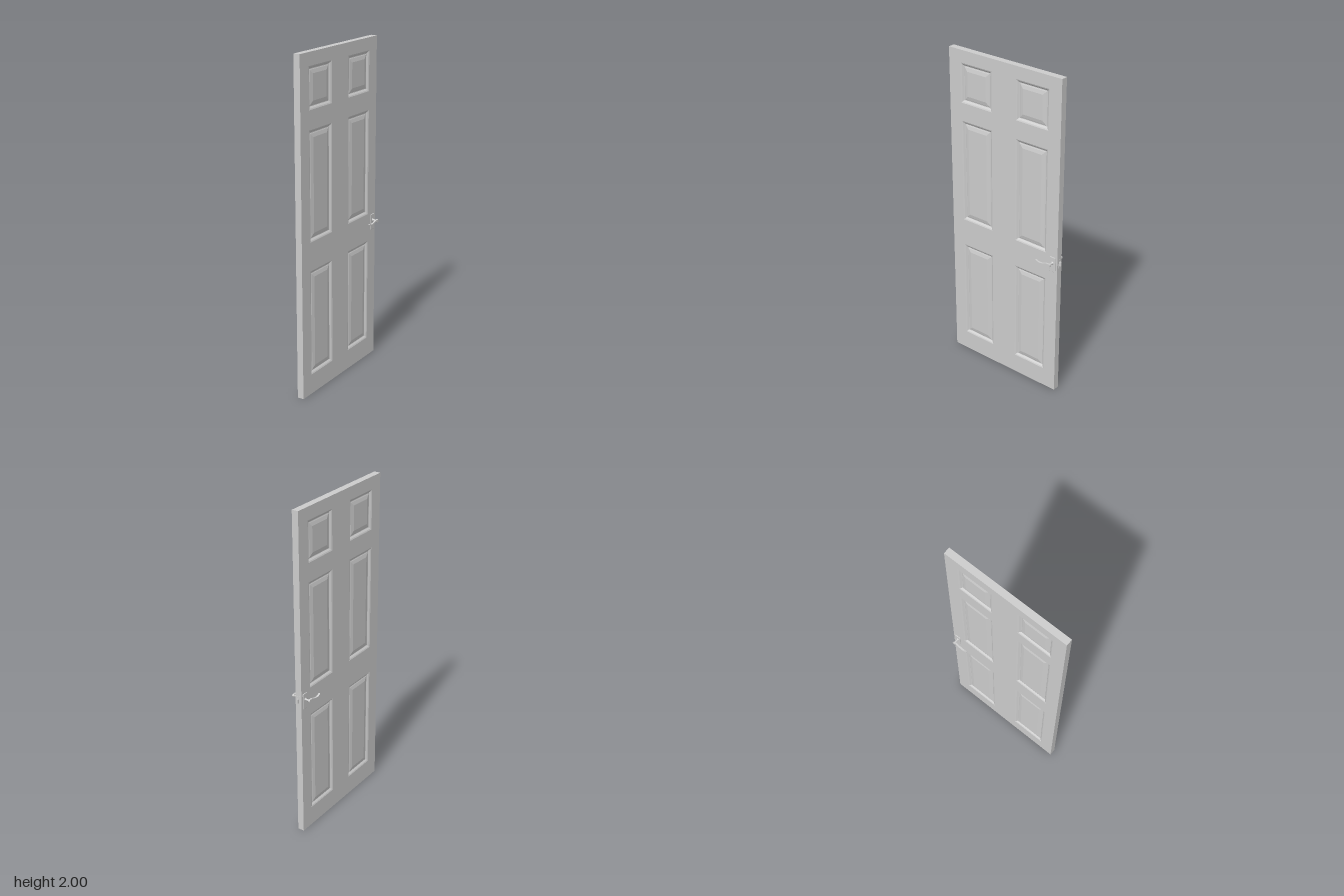
import * as THREE from 'three';

const HALF_T = 0.02, HALF_W = 0.389, HEIGHT = 2;
const HANDLE_U = 0.357, HANDLE_Y = 0.886;
const PANEL_ROWS = [[0.122, 0.764], [0.936, 1.576], [1.687, 1.925]];
const PANEL_U = [[-0.307, -0.085], [0.085, 0.307]];
// Panel moulding: [inset, depth] from the opening edge to the raised field
const MOULDING = [[0, 0], [0.007, 0.003], [0.016, 0.011], [0.02, 0.011], [0.024, 0.009], [0.045, 0.004]];

const material = new THREE.MeshStandardMaterial({ color: 0xcccccc, side: THREE.DoubleSide });

function add(parent, name, geometry) {
  const mesh = new THREE.Mesh(geometry, material);
  mesh.name = name;
  parent.add(mesh);
  return mesh;
}

function rectPoints(u0, y0, u1, y1) {
  return [[u0, y0], [u1, y0], [u1, y1], [u0, y1]].map(p => new THREE.Vector2(...p));
}

// Nested rectangles joined into a moulded panel facing +z
function panelGeometry(u0, y0, u1, y1) {
  const rings = MOULDING.map(([inset, depth]) =>
    rectPoints(u0 + inset, y0 + inset, u1 - inset, y1 - inset).map(p => [p.x, p.y, HALF_T - depth]));
  const pos = [];
  const quad = (a, b, c, d) => pos.push(...a, ...b, ...c, ...a, ...c, ...d);
  for (let r = 0; r < rings.length - 1; r++) {
    for (let i = 0; i < 4; i++) {
      const j = (i + 1) % 4;
      quad(rings[r][i], rings[r][j], rings[r + 1][j], rings[r + 1][i]);
    }
  }
  quad(...rings[rings.length - 1]);
  const g = new THREE.BufferGeometry();
  g.setAttribute('position', new THREE.Float32BufferAttribute(pos, 3));
  g.computeVertexNormals();
  return g;
}

// Wavy lever: a tapering ribbon along a curve, pointing away from the door edge
function leverGeometry(s) {
  const curve = new THREE.SplineCurve([[0, 0.002], [0.016, 0.005], [0.04, -0.003], [0.07, -0.006], [0.094, 0.004]]
    .map(p => new THREE.Vector2(...p)));
  const top = [], bottom = [];
  const n = 20;
  for (let i = 0; i <= n; i++) {
    const p = curve.getPoint(i / n), t = curve.getTangent(i / n);
    const h = 0.0045 - 0.002 * i / n;
    top.push(new THREE.Vector2(-s * (p.x - t.y * h), p.y + t.x * h));
    bottom.push(new THREE.Vector2(-s * (p.x + t.y * h), p.y - t.x * h));
  }
  const shape = new THREE.Shape([...top, ...bottom.reverse()]);
  return new THREE.ExtrudeGeometry(shape, { depth: 0.011, bevelEnabled: false });
}

// Back plate, spindle and lever, built facing +z
function createHandle(s) {
  const handle = new THREE.Group();
  handle.name = 'handle';
  handle.position.set(s * HANDLE_U, HANDLE_Y, HALF_T);

  const plate = new THREE.Shape(rectPoints(-0.017, -0.056, 0.017, 0.036));
  add(handle, 'backPlate', new THREE.ExtrudeGeometry(plate, {
    depth: 0.002, bevelThickness: 0.002, bevelSize: 0.002, bevelSegments: 2
  }));

  const profile = [[0.011, 0.003], [0.0085, 0.006], [0.006, 0.01], [0.006, 0.03]]
    .map(p => new THREE.Vector2(...p));
  add(handle, 'spindle', new THREE.LatheGeometry(profile, 20).rotateX(Math.PI / 2));
  add(handle, 'leverBoss', new THREE.CylinderGeometry(0.01, 0.01, 0.011, 20)
    .rotateX(Math.PI / 2).translate(0, 0, 0.0355));
  add(handle, 'lever', leverGeometry(s).translate(0, 0, 0.03));
  return handle;
}

export function createModel() {
  const door = new THREE.Group();
  door.name = 'door';
  door.position.z = 0.005;

  // Slab edges: a box without its two broad faces
  const edges = new THREE.BoxGeometry(2 * HALF_T, HEIGHT, 2 * HALF_W).translate(0, HEIGHT / 2, 0);
  edges.setIndex(Array.from(edges.index.array).slice(12));
  edges.clearGroups();
  add(door, 'slabEdges', edges);

  // Each broad side: pierced face, six moulded panels and a handle
  for (const s of [1, -1]) {
    const side = new THREE.Group();
    side.name = s > 0 ? 'leftSide' : 'rightSide';
    side.rotation.y = s * Math.PI / 2;
    door.add(side);

    const face = new THREE.Shape(rectPoints(-HALF_W, 0, HALF_W, HEIGHT));
    for (const [y0, y1] of PANEL_ROWS) {
      for (const [u0, u1] of PANEL_U) {
        face.holes.push(new THREE.Path(rectPoints(u0, y0, u1, y1).reverse()));
        add(side, 'panel', panelGeometry(u0, y0, u1, y1));
      }
    }
    add(side, 'face', new THREE.ShapeGeometry(face).translate(0, 0, HALF_T));
    side.add(createHandle(s));
  }

  // Latch plate and slanted bolt on the free edge
  add(door, 'latchPlate', new THREE.BoxGeometry(0.022, 0.056, 0.002).translate(0, HANDLE_Y - 0.002, -HALF_W));
  const bolt = new THREE.Shape();
  bolt.moveTo(-0.005, 0);
  bolt.lineTo(0.006, 0);
  bolt.quadraticCurveTo(0.004, 0.011, -0.002, 0.012);
  bolt.quadraticCurveTo(-0.005, 0.011, -0.005, 0.006);
  bolt.closePath();
  add(door, 'latchBolt', new THREE.ExtrudeGeometry(bolt, { depth: 0.026, bevelEnabled: false })
    .rotateX(-Math.PI / 2).translate(0, 0.871, -HALF_W));

  const model = new THREE.Group();
  model.name = 'panelledDoor';
  model.add(door);
  return model;
}
